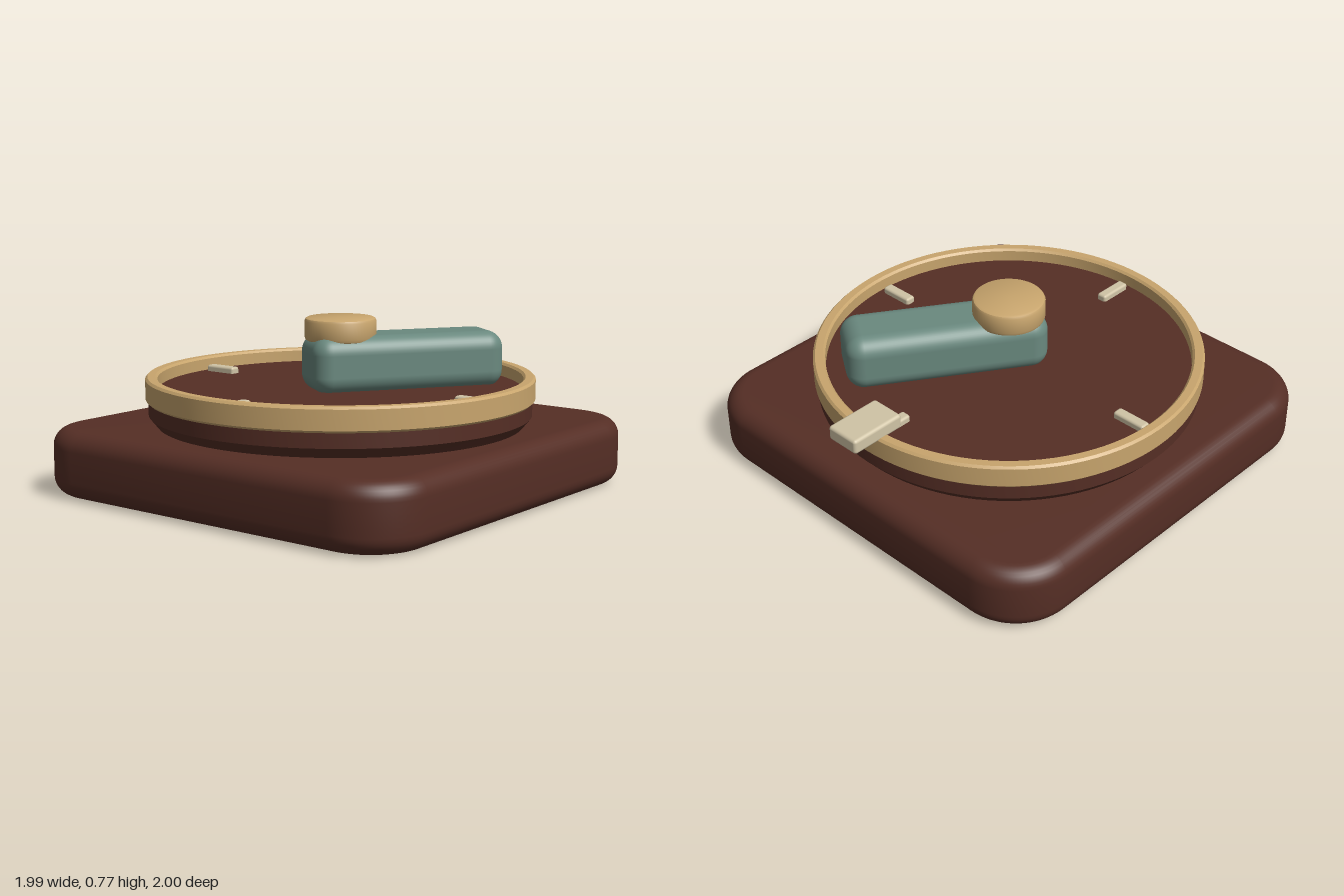
import * as THREE from 'three';
import { toCreasedNormals } from 'three/addons/utils/BufferGeometryUtils.js';
import { RoundedBoxGeometry } from 'three/addons/geometries/RoundedBoxGeometry.js';

const mat = (name, color) => {
  const m = new THREE.MeshStandardMaterial({ color });
  m.name = name;
  return m;
};

// Rounded rectangle slab with softened edges, bottom at y = 0
function slab(w, d, h, corner, bevel) {
  const x = w / 2 - bevel, y = d / 2 - bevel, r = corner - bevel;
  const s = new THREE.Shape();
  s.moveTo(x, -y + r);
  s.absarc(x - r, y - r, r, 0, Math.PI / 2);
  s.absarc(-x + r, y - r, r, Math.PI / 2, Math.PI);
  s.absarc(-x + r, -y + r, r, Math.PI, Math.PI * 1.5);
  s.absarc(x - r, -y + r, r, Math.PI * 1.5, Math.PI * 2);
  const g = new THREE.ExtrudeGeometry(s, {
    depth: h - 2 * bevel, bevelEnabled: true, bevelSize: bevel,
    bevelThickness: bevel, bevelSegments: 8, curveSegments: 12,
  });
  g.translate(0, 0, bevel).rotateX(-Math.PI / 2);
  return toCreasedNormals(g, 0.6);
}

// Turned part from [radius, height] pairs running from bottom to top
function turned(points, segments = 96) {
  const g = new THREE.LatheGeometry(points.map(p => new THREE.Vector2(...p)), segments);
  return toCreasedNormals(g, 0.5);
}

export function createModel() {
  const wood = mat('dark wood', 0x552e25);
  const brass = mat('brass', 0xc8a56d);
  const teal = mat('teal', 0x6a897f);
  const ivory = mat('ivory', 0xd0c4a6);

  const model = new THREE.Group();
  model.name = 'dialSwitch';
  const add = (name, geometry, material, x = 0, y = 0, z = 0) => {
    const mesh = new THREE.Mesh(geometry, material);
    mesh.name = name;
    mesh.position.set(x, y, z + 0.005);
    model.add(mesh);
    return mesh;
  };

  add('base', slab(1.99, 1.99, 0.3, 0.28, 0.08), wood);

  // Round dial and its raised rim
  add('dial', turned([
    [0, 0.28], [0.83, 0.28], [0.83, 0.3], [0.85, 0.325], [0.867, 0.345],
    [0.867, 0.44], [0.85, 0.455], [0, 0.455],
  ]), wood);
  add('rim', turned([
    [0.825, 0.41], [0.87, 0.41], [0.88, 0.42], [0.88, 0.508], [0.87, 0.518],
    [0.835, 0.518], [0.825, 0.508], [0.825, 0.41],
  ]), brass);

  // Quarter marks
  for (let i = 0; i < 4; i++) {
    const a = i * Math.PI / 2;
    const mark = add('quarterMark', new RoundedBoxGeometry(0.05, 0.05, 0.165, 2, 0.012), ivory,
      Math.sin(a) * 0.72, 0.46, Math.cos(a) * 0.72);
    mark.rotation.y = a;
  }

  // Index pointer over the back of the rim
  add('pointer', new RoundedBoxGeometry(0.165, 0.07, 0.265, 3, 0.015), ivory, 0, 0.54, -0.8725);

  // Turned lever and its hub cap
  const lever = add('lever', new RoundedBoxGeometry(0.3, 0.26, 0.91, 6, 0.08), teal, 0.182, 0.57, -0.227);
  lever.rotation.y = -Math.atan2(0.56, 0.83);
  add('hubCap', turned([
    [0, 0.67], [0.148, 0.67], [0.158, 0.675], [0.163, 0.688],
    [0.163, 0.76], [0.158, 0.77], [0.148, 0.775], [0, 0.775],
  ], 64), brass);

  return model;
}
